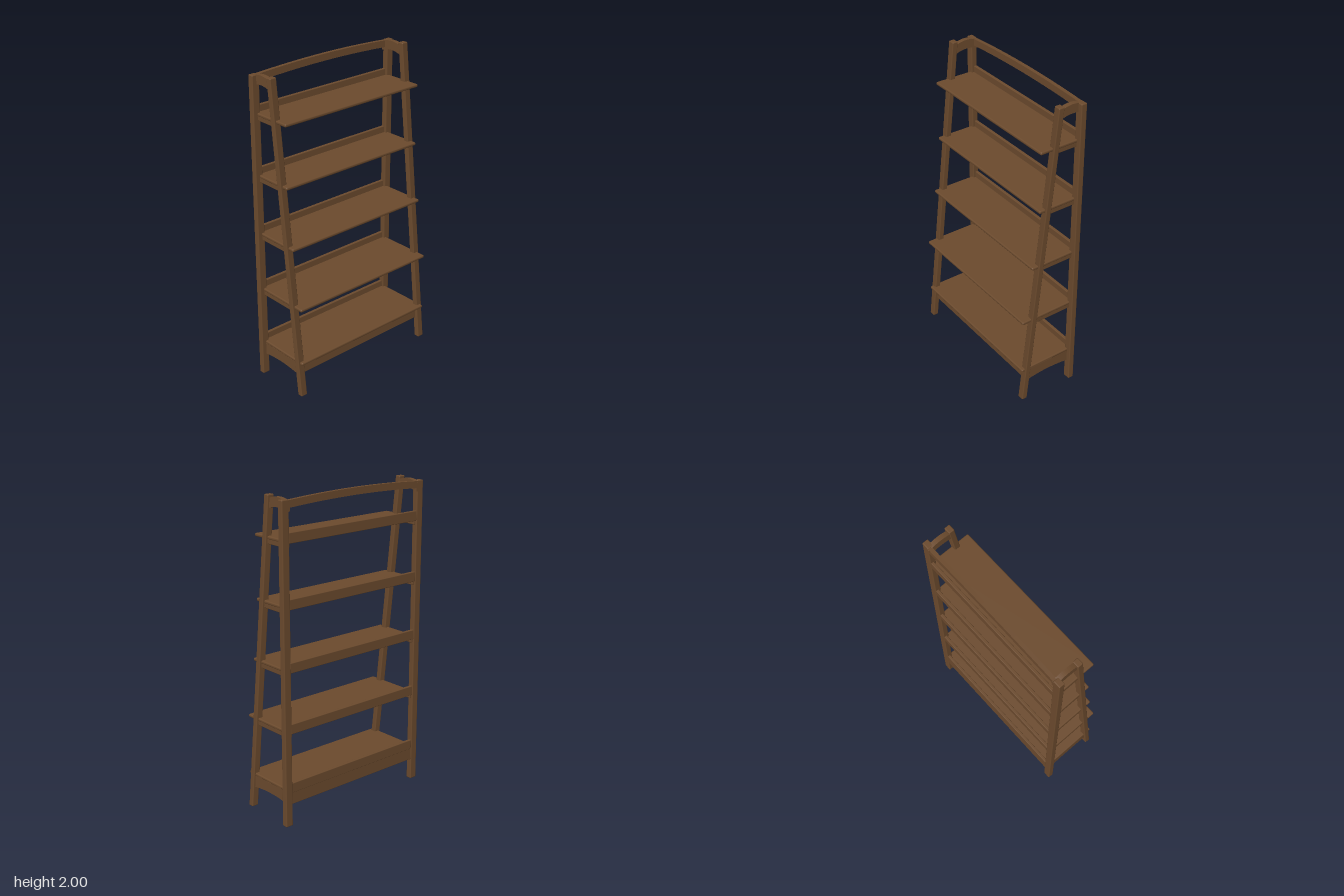
import * as THREE from 'three';
import { RoundedBoxGeometry } from 'three/addons/geometries/RoundedBoxGeometry.js';

const wood = new THREE.MeshStandardMaterial({ color: 0x6b4a2d });
wood.name = 'walnutBrown';

// Centre line of the leaning front legs
const legZ = (y) => 0.183 - 0.109 * y;

export function createModel() {
  const model = new THREE.Group();
  model.name = 'ladderBookcase';

  const add = (name, geometry) => {
    const mesh = new THREE.Mesh(geometry, wood);
    mesh.name = name;
    model.add(mesh);
    return mesh;
  };

  // Softly rounded board given by its limits on each axis
  const board = (name, x0, x1, y0, y1, z0, z1, r = 0.004) => {
    const g = new RoundedBoxGeometry(x1 - x0, y1 - y0, z1 - z0, 2, r);
    g.translate((x0 + x1) / 2, (y0 + y1) / 2, (z0 + z1) / 2);
    return add(name, g);
  };

  // Board on both sides; limits are given for the left (+x) side
  const pair = (name, x0, x1, ...rest) => {
    board('left' + name, x0, x1, ...rest);
    board('right' + name, -x1, -x0, ...rest);
  };

  // Curved rail: a strip between two parabolas, length along x
  const curvedRail = (length, bottomEnd, bottomMid, topEnd, topMid, depth) => {
    const h = length / 2;
    const shape = new THREE.Shape();
    shape.moveTo(-h, bottomEnd);
    shape.quadraticCurveTo(0, 2 * bottomMid - bottomEnd, h, bottomEnd);
    shape.lineTo(h, topEnd);
    shape.quadraticCurveTo(0, 2 * topMid - topEnd, -h, topEnd);
    shape.closePath();
    const g = new THREE.ExtrudeGeometry(shape, { depth, bevelEnabled: false, curveSegments: 16 });
    return g.translate(0, 0, -depth / 2);
  };

  // Upright rear posts
  pair('RearPost', 0.503, 0.553, 0, 1.988, -0.197, -0.158, 0.006);

  // Leaning front legs, sheared so that their ends stay level
  for (const side of [1, -1]) {
    const g = new RoundedBoxGeometry(0.045, 2, 0.037, 2, 0.006);
    const p = g.attributes.position;
    for (let i = 0; i < p.count; i++) {
      const y = p.getY(i) + 1;
      p.setXYZ(i, p.getX(i) + side * 0.515, y, p.getZ(i) + legZ(y));
    }
    g.computeBoundingSphere();
    add(side > 0 ? 'leftFrontLeg' : 'rightFrontLeg', g);
  }

  // Shelves: top height and front edge
  const shelves = [[0.237, 0.198], [0.615, 0.198], [0.995, 0.134], [1.375, 0.091], [1.76, 0.093]];
  shelves.forEach(([top, front], i) => {
    board('shelf', -0.526, 0.526, top - 0.02, top, -0.18, front, 0.008);
    board('shelfBackLip', -0.505, 0.505, top - 0.022, top + 0.041, -0.194, -0.174);
    if (i > 0) pair('ShelfSupport', 0.493, 0.524, top - 0.046, top - 0.004, -0.185, legZ(top) + 0.008);
  });

  // Arched top rail at the back
  add('topRail', curvedRail(1.02, 1.94, 1.957, 1.983, 2.0, 0.024)).position.z = -0.184;

  // Short curved top ties and arched bottom aprons on each side
  for (const side of [1, -1]) {
    const prefix = side > 0 ? 'left' : 'right';
    const tie = add(prefix + 'TopTie', curvedRail(0.16, 1.92, 1.936, 1.976, 1.993, 0.03));
    tie.rotation.y = Math.PI / 2;
    tie.position.set(side * 0.51, 0, -0.117);
    const apron = add(prefix + 'BottomApron', curvedRail(0.33, 0.138, 0.153, 0.22, 0.22, 0.024));
    apron.rotation.y = Math.PI / 2;
    apron.position.set(side * 0.513, 0, -0.005);
  }

  // Front and rear bottom aprons
  board('frontApron', -0.505, 0.505, 0.14, 0.22, 0.14, 0.165);
  board('rearApron', -0.505, 0.505, 0.14, 0.22, -0.193, -0.17);

  // Bracing frame under the lowest shelf
  for (const x of [-0.43, 0, 0.43]) board('crossBrace', x - 0.02, x + 0.02, 0.175, 0.2, -0.175, 0.145);
  for (const z of [-0.12, -0.045, 0.03, 0.105]) board('longSlat', -0.46, 0.46, 0.195, 0.22, z - 0.014, z + 0.014);

  return model;
}
